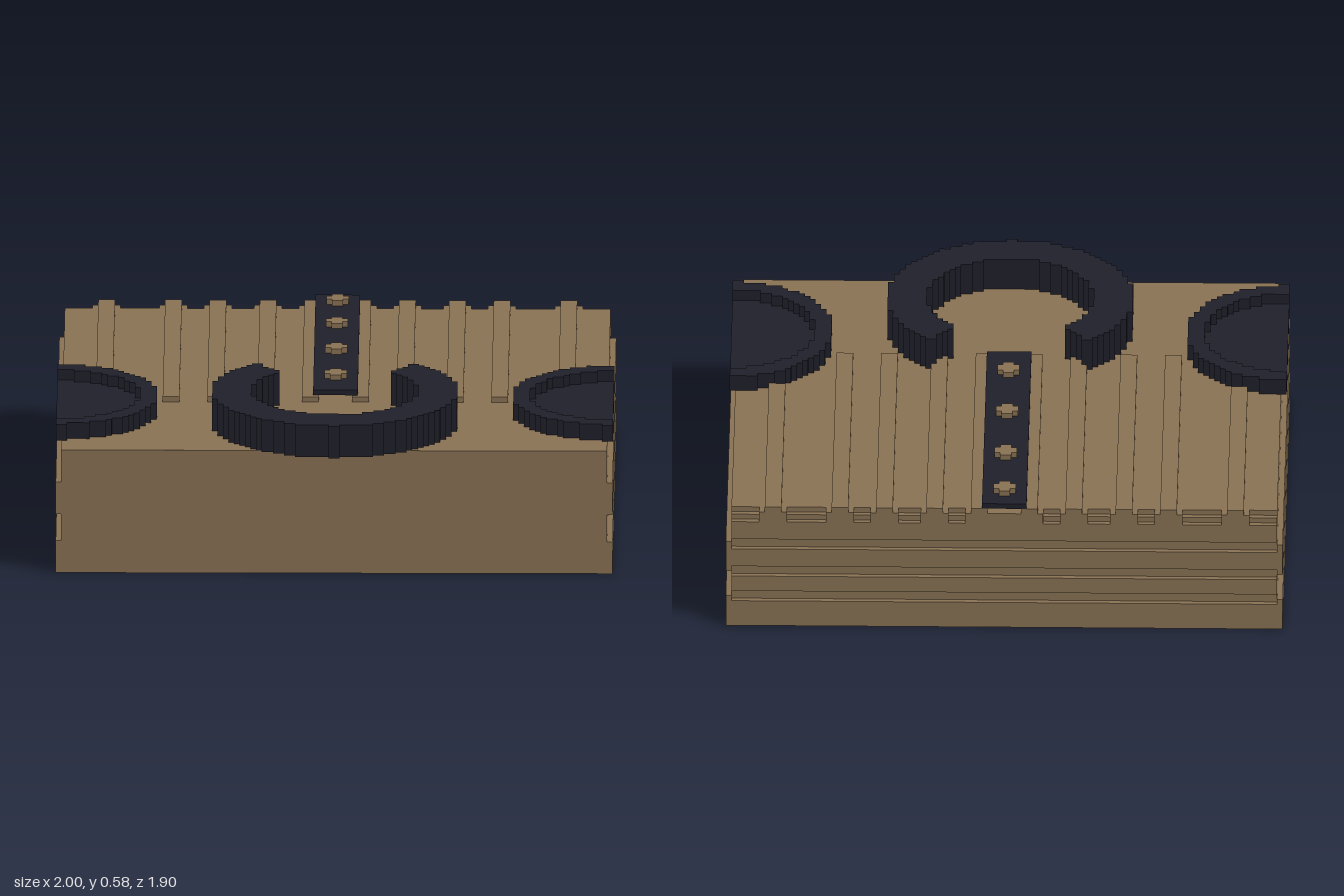
import * as THREE from 'three';
import { mergeGeometries } from 'three/addons/utils/BufferGeometryUtils.js';

const CELL = 0.02;

// Axis-aligned block given by its limits
function block(x0, x1, y0, y1, z0, z1) {
  return new THREE.BoxGeometry(x1 - x0, y1 - y0, z1 - z0)
    .translate((x0 + x1) / 2, (y0 + y1) / 2, (z0 + z1) / 2);
}

// Stepped flat shape: every row of cells passing the test becomes a few long blocks
function stepped(inside, x0, x1, z0, z1, y0, y1) {
  const parts = [];
  const cols = Math.round((x1 - x0) / CELL), rows = Math.round((z1 - z0) / CELL);
  for (let r = 0; r < rows; r++) {
    const z = z0 + r * CELL;
    let start = -1;
    for (let c = 0; c <= cols; c++) {
      const hit = c < cols && inside(x0 + (c + 0.5) * CELL, z + CELL / 2);
      if (hit && start < 0) start = c;
      if (!hit && start >= 0) {
        parts.push(block(x0 + start * CELL, x0 + c * CELL, y0, y1, z, z + CELL));
        start = -1;
      }
    }
  }
  return mergeGeometries(parts);
}

export function createModel() {
  const group = new THREE.Group();
  const wood = new THREE.MeshStandardMaterial({ color: 0x8b7355 });
  wood.name = 'brown wood';
  const iron = new THREE.MeshStandardMaterial({ color: 0x20202b });
  iron.name = 'dark iron';

  const add = (name, geometry, material) => {
    const mesh = new THREE.Mesh(geometry, material);
    mesh.name = name;
    group.add(mesh);
  };

  // Solid base with a stepped upper back edge
  add('base', mergeGeometries([
    block(-0.98, 0.98, 0, 0.44, -0.93, 0.85),
    block(-0.98, 0.98, 0.44, 0.46, -0.91, 0.85),
  ]), wood);

  // Boards standing proud of the two sides
  const sideBoards = [];
  for (const [y0, y1] of [[0, 0.12], [0.22, 0.34]]) {
    sideBoards.push(block(0.98, 1, y0, y1, -0.95, 0.85), block(-1, -0.98, y0, y1, -0.95, 0.85));
  }
  add('sideBoards', mergeGeometries(sideBoards), wood);

  // Boards standing proud of the back
  const backBoards = [[0, 0.10], [0.14, 0.20], [0.24, 0.31], [0.35, 0.42]]
    .map(([y0, y1]) => block(-0.98, 0.98, y0, y1, -0.95, -0.93));
  add('backBoards', mergeGeometries(backBoards), wood);

  // Teeth along the upper back edge
  const teeth = [block(-0.14, 0.14, 0.42, 0.46, -0.95, -0.91)];
  for (const [a, b] of [[0.20, 0.30], [0.38, 0.48], [0.54, 0.64], [0.78, 0.88]]) {
    teeth.push(block(a, b, 0.42, 0.46, -0.95, -0.91), block(-b, -a, 0.42, 0.46, -0.95, -0.91));
  }
  add('backTeeth', mergeGeometries(teeth), wood);

  // Raised ridges along the top
  const ridges = [];
  for (const [a, b, end] of [[0.06, 0.12, 0.25], [0.22, 0.28, 0.25], [0.40, 0.46, 0.25],
    [0.56, 0.62, 0.25], [0.80, 0.86, 0.01]]) {
    ridges.push(block(a, b, 0.46, 0.48, -0.95, end), block(-b, -a, 0.46, 0.48, -0.95, end));
  }
  add('topRidges', mergeGeometries(ridges), wood);

  // Central strap and its cross-shaped rivets
  add('strap', block(-0.08, 0.08, 0.48, 0.50, -0.95, 0.23), iron);
  const rivets = [];
  for (const z of [-0.85, -0.57, -0.25, 0.07]) {
    rivets.push(block(-0.04, 0.04, 0.50, 0.52, z - 0.02, z + 0.02),
      block(-0.02, 0.02, 0.50, 0.52, z - 0.04, z + 0.04));
  }
  add('rivets', mergeGeometries(rivets), wood);

  // Open ring with its gap towards the strap
  const ringZ = 0.498, gap = 40 * Math.PI / 180;
  add('openRing', stepped((x, z) => {
    const r = Math.hypot(x, z - ringZ);
    return r < 0.4425 && r > 0.297 && Math.abs(Math.atan2(x, ringZ - z)) > gap;
  }, -0.46, 0.46, 0.03, 0.97, 0.46, 0.58), iron);

  // Half-round plates with a raised rim on both sides
  for (const side of [-1, 1]) {
    const name = side > 0 ? 'left' : 'right';
    const x0 = side > 0 ? 0.6 : -1, x1 = x0 + 0.4;
    const radius = (x, z) => Math.hypot(x - side, z - 0.355);
    add(name + 'HalfRim', stepped((x, z) => radius(x, z) < 0.368 && radius(x, z) > 0.302,
      x0, x1, -0.05, 0.77, 0.46, 0.52), iron);
    add(name + 'HalfPlate', stepped((x, z) => radius(x, z) <= 0.302,
      x0, x1, -0.05, 0.77, 0.44, 0.48), iron);
  }
  return group;
}
